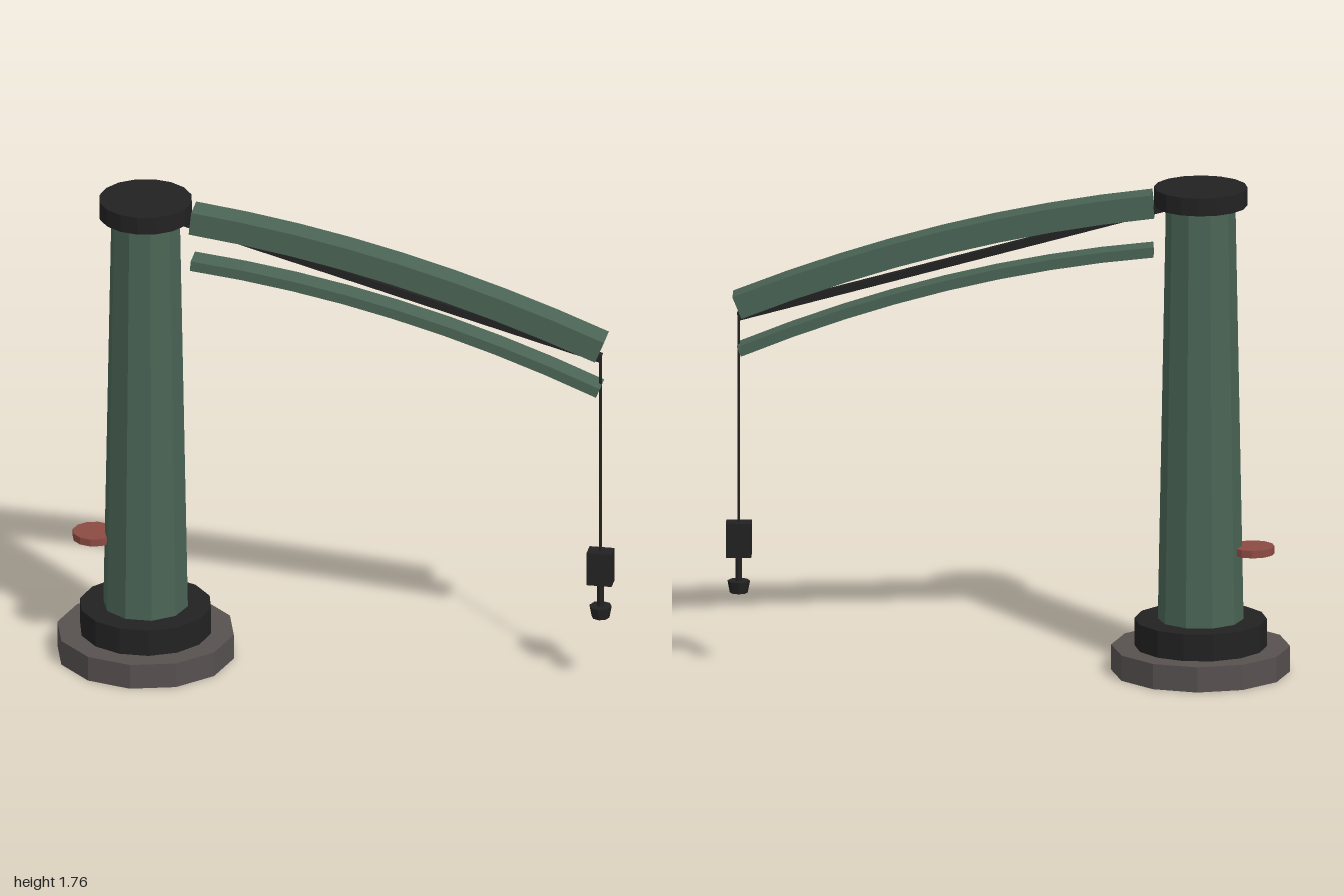
import * as THREE from 'three';

const mat = (name, color) => {
  const m = new THREE.MeshStandardMaterial({ color, flatShading: true });
  m.name = name;
  return m;
};

export function createModel() {
  const green = mat('green paint', 0x4a6455);
  const black = mat('black iron', 0x222222);
  const stone = mat('grey stone', 0x575150);
  const red = mat('red paint', 0x8c4b43);

  const crane = new THREE.Group();
  crane.name = 'crane';
  const columnX = -0.683, hoistX = 0.952;

  const add = (name, geometry, material, x = 0, y = 0, z = 0) => {
    const mesh = new THREE.Mesh(geometry, material);
    mesh.name = name;
    mesh.position.set(x, y, z);
    crane.add(mesh);
    return mesh;
  };

  // Upright prism between two heights, with a corner on the x axis
  const drum = (name, material, x, y0, y1, rBottom, rTop, sides) =>
    add(name, new THREE.CylinderGeometry(rTop, rBottom, y1 - y0, sides, 1, false, Math.PI / 2),
      material, x, (y0 + y1) / 2);

  // Arched beam of constant height, following a curve in eight straight pieces
  const archedBeam = (name, start, control, end, height, width) => {
    const curve = new THREE.QuadraticBezierCurve(...[start, control, end].map(p => new THREE.Vector2(...p)));
    const upper = [], lower = [];
    for (let i = 0; i <= 8; i++) {
      const p = curve.getPoint(i / 8), t = curve.getTangent(i / 8);
      const normal = new THREE.Vector2(-t.y, t.x).multiplyScalar(height / 2);
      upper.push(p.clone().add(normal));
      lower.push(p.clone().sub(normal));
    }
    const outline = new THREE.Shape([...lower, ...upper.reverse()]);
    const geometry = new THREE.ExtrudeGeometry(outline, { depth: width, bevelEnabled: false });
    add(name, geometry, green, 0, 0, -width / 2);
  };

  // Foundation, column and cap
  drum('foundation', stone, columnX, 0, 0.092, 0.317, 0.317, 12);
  drum('plinth', black, columnX, 0.09, 0.19, 0.235, 0.235, 14);
  drum('column', green, columnX, 0.18, 1.71, 0.152, 0.123, 10);
  drum('columnCap', black, columnX, 1.7, 1.765, 0.166, 0.166, 16);

  // Small round seat behind the column
  drum('seat', red, -0.868, 0.43, 0.457, 0.077, 0.077, 12);

  // Jib: two arched beams and a straight tie between them
  archedBeam('upperJibBeam', [-0.515, 1.703], [0.221, 1.62], [0.957, 1.32], 0.085, 0.1);
  archedBeam('lowerJibBeam', [-0.515, 1.535], [0.22, 1.466], [0.95, 1.158], 0.037, 0.086);

  const a = new THREE.Vector2(-0.57, 1.695), b = new THREE.Vector2(0.955, 1.278);
  const tie = add('jibTie', new THREE.BoxGeometry(a.distanceTo(b), 0.028, 0.026), black,
    (a.x + b.x) / 2, (a.y + b.y) / 2);
  tie.rotation.z = Math.atan2(b.y - a.y, b.x - a.x);

  // Hoist: cable, block, shank and hook weight
  drum('cable', black, hoistX, 0.52, 1.29, 0.005, 0.005, 6);
  add('hoistBlock', new THREE.BoxGeometry(0.09, 0.125, 0.06), black, hoistX, 0.465);
  drum('hookShank', black, hoistX, 0.3, 0.395, 0.012, 0.012, 8);
  drum('hookWeight', black, hoistX, 0.27, 0.313, 0.032, 0.04, 8);

  return crane;
}
